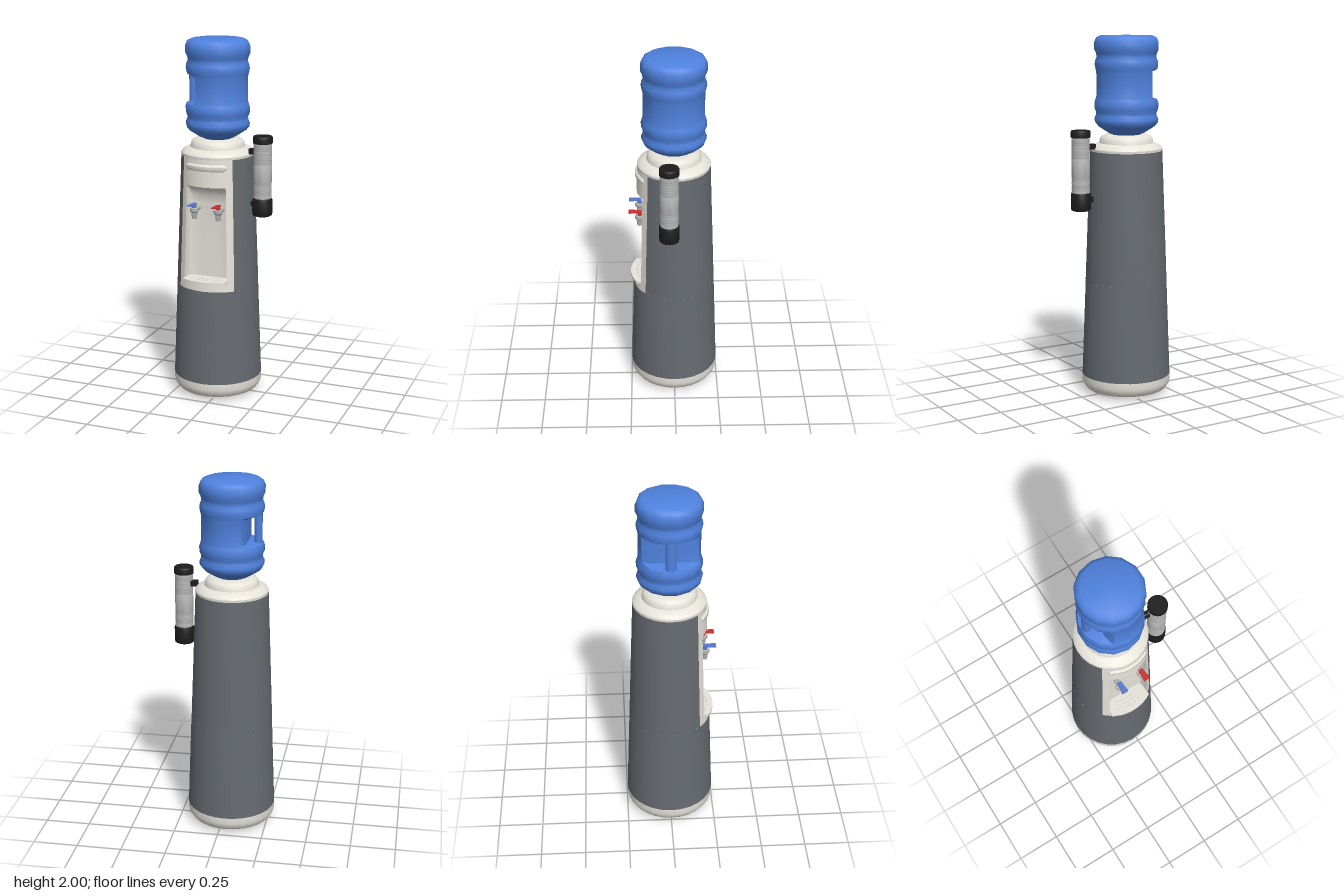
import * as THREE from 'three';
import { toCreasedNormals } from 'three/addons/utils/BufferGeometryUtils.js';

const paint = (color) => new THREE.MeshStandardMaterial({ color });
const grey = paint(0x666b70), cream = paint(0xe6e3da), blue = paint(0x4f82de);
const black = paint(0x1c1c1c), silver = paint(0xb4b4b4);
const leverBlue = paint(0x5878c8), leverRed = paint(0xcc3030);

const CUT = 0.777;                                   // half angle of the front opening
const bodyR = (y) => 0.248 - (y - 0.105) * 0.038;    // tapering radius of the cabinet

function add(parent, name, geometry, material, x = 0, y = 0, z = 0) {
  const mesh = new THREE.Mesh(geometry, material);
  mesh.name = name;
  mesh.position.set(x, y, z);
  parent.add(mesh);
  return mesh;
}

// Turned part from [radius, y] pairs, listed from bottom to top on the outside
function turned(points, sides = 28, start = 0, length = Math.PI * 2, crease = 0.6) {
  const profile = points.map(([r, y]) => new THREE.Vector2(r, y));
  return toCreasedNormals(new THREE.LatheGeometry(profile, sides, start, length), crease);
}

// Front panel: follows the cabinet's cone, with a niche sunk into it
function panelGeometry() {
  const half = [[CUT, 0], [0.586, 0], [0.575, 0.6], [0.53, 0.92], [0.45, 1], [0.22, 1]];
  const cols = [...half.map(([a, d]) => [-a, d]), [0, 1], ...half.slice().reverse()];
  const rows = [[0.64, 0], [0.688, 0], [0.69, 1], [0.9, 1], [1.12, 1], [1.17, 0.92],
    [1.2, 0.6], [1.22, 0], [1.37, 0]];
  const pos = [], index = [], n = cols.length;
  rows.forEach(([y, rowDepth], j) => cols.forEach(([a, colDepth], i) => {
    const d = rowDepth * colDepth, r = bodyR(y);
    pos.push(r * Math.sin(a), y, THREE.MathUtils.lerp(r * Math.cos(a), 0.125, d));
    if (i < n - 1 && j < rows.length - 1) {
      const k = j * n + i;
      index.push(k, k + 1, k + n, k + 1, k + n + 1, k + n);
    }
  }));
  const geo = new THREE.BufferGeometry();
  geo.setAttribute('position', new THREE.Float32BufferAttribute(pos, 3));
  geo.setIndex(index);
  return toCreasedNormals(geo, 0.6);
}

// Drip tray with curved front edge and rows of drain holes
function trayGeometry() {
  const shape = new THREE.Shape();
  shape.moveTo(-0.115, 0.125);
  shape.lineTo(0.115, 0.125);
  for (let i = 0; i <= 10; i++) {
    const a = 0.535 - i * 0.107;
    shape.lineTo(0.245 * Math.sin(a), 0.245 * Math.cos(a));
  }
  for (const r of [0.165, 0.187, 0.209]) {
    for (let i = -6; i <= 6; i++) {
      const a = i * 0.072, hole = new THREE.Path();
      hole.absarc(r * Math.sin(a), r * Math.cos(a), 0.0045, 0, Math.PI * 2, true);
      shape.holes.push(hole);
    }
  }
  const geo = new THREE.ExtrudeGeometry(shape, { depth: 0.014, bevelEnabled: false, curveSegments: 3 });
  return geo.rotateX(Math.PI / 2);
}

function bottleGeometry() {
  const geo = new THREE.LatheGeometry([
    [0.06, 1.43], [0.08, 1.46], [0.1, 1.468], [0.158, 1.505], [0.174, 1.525], [0.177, 1.545],
    [0.168, 1.565], [0.167, 1.58], [0.176, 1.6], [0.177, 1.63], [0.17, 1.652], [0.166, 1.665],
    [0.165, 1.73], [0.166, 1.8], [0.17, 1.815], [0.175, 1.84], [0.172, 1.862], [0.164, 1.88],
    [0.167, 1.9], [0.177, 1.92], [0.177, 1.96], [0.167, 1.985], [0.145, 1.997], [0, 2],
  ].map(([r, y]) => new THREE.Vector2(r, y)), 14);
  // flatten one side to make the hollow behind the carrying grip
  const p = geo.attributes.position;
  for (let i = 0; i < p.count; i++) {
    if (p.getY(i) > 1.66 && p.getY(i) < 1.805) p.setX(i, Math.max(p.getX(i), -0.09));
  }
  return toCreasedNormals(geo, 0.85);
}

// Lever that widens towards the front
function leverGeometry() {
  const shape = new THREE.Shape([[-0.012, 0.18], [0.012, 0.18], [0.019, 0.25], [-0.019, 0.25]]
    .map(([x, z]) => new THREE.Vector2(x, z)));
  return new THREE.ExtrudeGeometry(shape, { depth: 0.006, bevelEnabled: false }).rotateX(Math.PI / 2);
}

function makeTap(name, x, material) {
  const tap = new THREE.Group();
  tap.name = name;
  tap.position.x = x;
  add(tap, 'spout', turned([[0, 1.04], [0.013, 1.04], [0.017, 1.075], [0.025, 1.083], [0.025, 1.1],
    [0, 1.104]], 12), silver, 0, 0, 0.19);
  add(tap, 'pipe', new THREE.CylinderGeometry(0.012, 0.012, 0.075, 10).rotateX(Math.PI / 2), silver, 0, 1.088, 0.155);
  add(tap, 'stem', new THREE.CylinderGeometry(0.01, 0.013, 0.022, 8), material, 0, 1.111, 0.19);
  add(tap, 'lever', leverGeometry(), material, 0, 1.126, 0);
  return tap;
}

function makeCupHolder() {
  const holder = new THREE.Group();
  holder.name = 'cupHolder';
  holder.position.set(0.272, 0, 0.03);
  add(holder, 'lowerCollar', turned([[0.04, 1.07], [0.044, 1.05], [0.053, 1.055], [0.055, 1.07],
    [0.055, 1.14], [0.05, 1.15]], 24), black);
  add(holder, 'topLid', turned([[0.048, 1.45], [0.054, 1.453], [0.054, 1.484], [0.05, 1.49], [0, 1.49]], 24), black);
  add(holder, 'collarUnderside', new THREE.CylinderGeometry(0.045, 0.045, 0.01, 24), black, 0, 1.075, 0);
  add(holder, 'lowestCup', new THREE.CylinderGeometry(0.036, 0.027, 0.03, 20), silver, 0, 1.068, 0);
  // ribbed tube: fine grooves in two bands, smooth in the middle
  const wall = [[0.05, 1.145]];
  for (let y = 1.155; y < 1.45; y += 0.012) {
    if (y > 1.235 && y < 1.325) continue;
    wall.push([0.05, y], [0.0485, y + 0.003], [0.0485, y + 0.005], [0.05, y + 0.008]);
  }
  wall.push([0.05, 1.456]);
  add(holder, 'ribbedTube', turned(wall, 24), silver);
  for (const z of [-0.022, 0]) {
    for (const y of [1.11, 1.4]) {
      add(holder, 'bracket', new THREE.BoxGeometry(0.05, 0.03, 0.01), black, -0.055, y, z);
    }
  }
  return holder;
}

export function createModel() {
  const model = new THREE.Group();
  model.name = 'waterCooler';
  const cooler = new THREE.Group();
  cooler.name = 'cooler';
  cooler.position.x = -0.04;
  model.add(cooler);

  // Base with a hollow foot, cabinet shell and shoulder cap
  add(cooler, 'base', turned([[0, 0.035], [0.165, 0.035], [0.182, 0], [0.19, 0], [0.19, 0.02], [0.213, 0.02],
    [0.225, 0.026], [0.243, 0.05], [0.248, 0.07], [0.248, 0.105]]), cream);
  add(cooler, 'lowerCabinet', turned([[bodyR(0.105), 0.105], [bodyR(0.64), 0.64]]), grey);
  add(cooler, 'upperCabinet', turned([[bodyR(0.64), 0.64], [bodyR(1.37), 1.37]], 22, CUT,
    Math.PI * 2 - 2 * CUT), grey);
  add(cooler, 'shoulderCap', turned([[0.2, 1.37], [0.201, 1.383], [0.194, 1.394], [0.17, 1.407],
    [0.15, 1.413], [0.146, 1.435], [0.137, 1.448], [0.112, 1.46], [0.07, 1.458]]), cream);

  // Serving niche
  add(cooler, 'frontPanel', panelGeometry(), cream);
  add(cooler, 'dripTray', trayGeometry(), cream, 0, 0.699, 0);
  const grip = turned([[0.195, 1.306], [0.206, 1.308], [0.212, 1.317], [0.212, 1.335], [0.206, 1.343],
    [0.195, 1.346]], 10, -0.54, 1.08);
  add(cooler, 'hoodGrip', grip, cream);
  for (const s of [-1, 1]) {
    add(cooler, 'gripEnd', new THREE.SphereGeometry(0.018, 10, 8), cream,
      s * 0.194 * Math.sin(0.54), 1.326, 0.194 * Math.cos(0.54));
  }
  cooler.add(makeTap('coldTap', -0.062, leverBlue), makeTap('hotTap', 0.077, leverRed));

  // Water bottle with carrying grip
  add(cooler, 'bottle', bottleGeometry(), blue);
  const bar = add(cooler, 'bottleGrip', new THREE.CylinderGeometry(0.022, 0.022, 0.17, 10), blue, -0.142, 1.735, 0);
  bar.scale.z = 1.3;

  cooler.add(makeCupHolder());
  return model;
}
